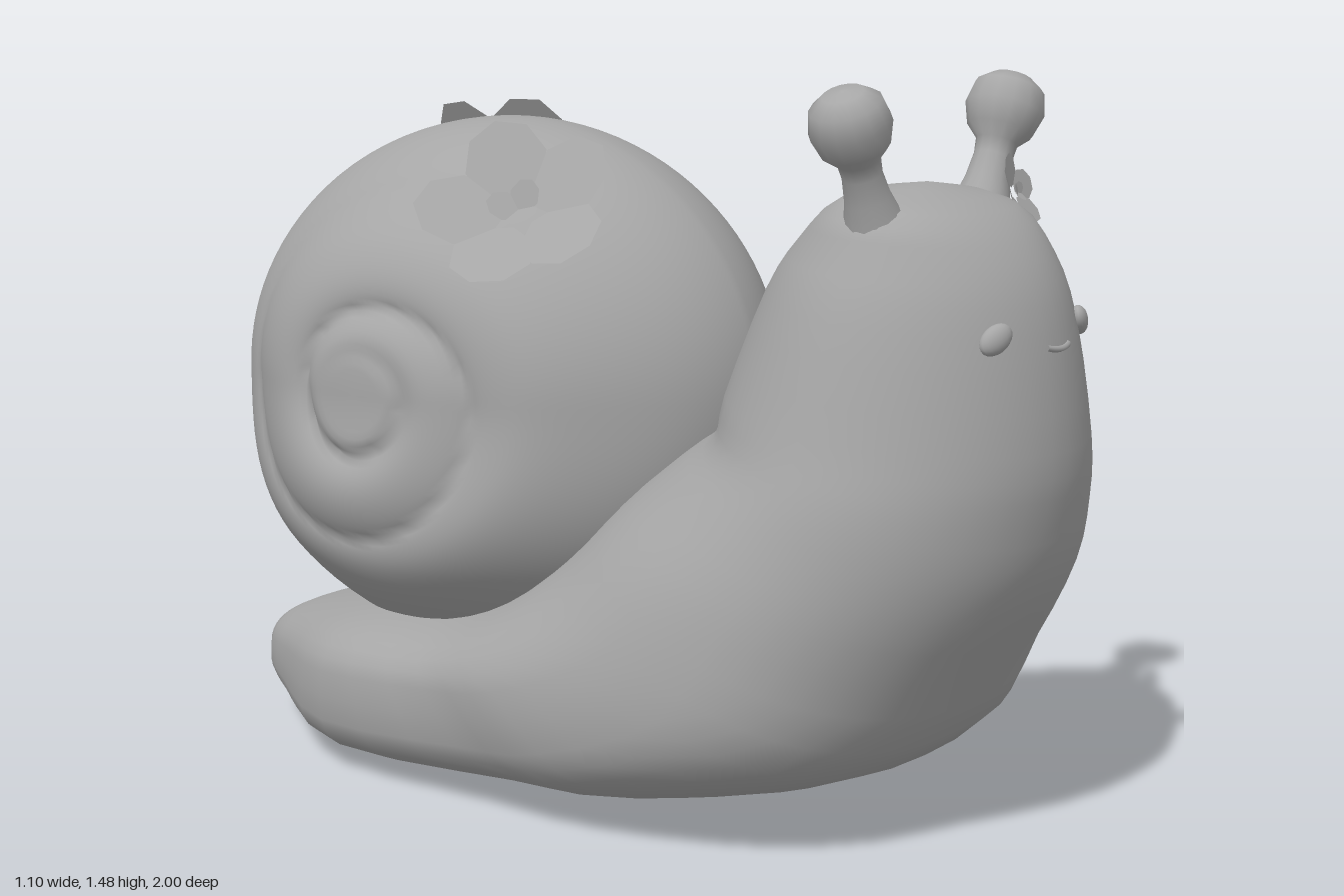
import * as THREE from 'three';
import { mergeVertices } from 'three/addons/utils/BufferGeometryUtils.js';

const skin = new THREE.MeshStandardMaterial({ name: 'warm grey', color: 0xa6a6a6, side: THREE.DoubleSide });

function part(name, geometry, parent) {
  const mesh = new THREE.Mesh(geometry, skin);
  mesh.name = name;
  parent.add(mesh);
  return mesh;
}

// weld seams so that the normals run smoothly across them
function smooth(geometry) {
  geometry.deleteAttribute('uv');
  geometry.deleteAttribute('normal');
  const welded = mergeVertices(geometry, 1e-4);
  welded.computeVertexNormals();
  return welded;
}

// Body: rings swinging from the crown of the head to the tail tip.
// Each row: front/sole z, y; back/top z, y; half width; roundness (1 = ellipse)
const RINGS = [
  [0.68, 1.29, 0.68, 1.29, 0, 1],
  [0.83, 1.24, 0.54, 1.265, 0.215, 0.98],
  [0.92, 1.15, 0.44, 1.18, 0.275, 1.03],
  [0.97, 1.02, 0.37, 1.08, 0.325, 1.06],
  [1.0, 0.8, 0.29, 0.88, 0.385, 1.06],
  [0.99, 0.67, 0.28, 0.8, 0.42, 1.04],
  [0.955, 0.53, 0.2, 0.74, 0.455, 1.0],
  [0.85, 0.35, 0.1, 0.65, 0.505, 0.92],
  [0.7, 0.15, 0.0, 0.53, 0.54, 0.8],
  [0.3, 0.05, -0.12, 0.42, 0.545, 0.68],
  [0.0, 0.03, -0.28, 0.36, 0.505, 0.62],
  [-0.5, 0.005, -0.5, 0.34, 0.47, 0.62],
  [-0.78, 0.04, -0.74, 0.29, 0.31, 0.68],
  [-0.94, 0.08, -0.93, 0.23, 0.17, 0.75],
  [-1.0, 0.15, -1.0, 0.15, 0, 1],
];

function bodyGeometry(steps = 42, sides = 40) {
  const outer = new THREE.CatmullRomCurve3(RINGS.map(r => new THREE.Vector3(r[0], r[1], r[4])), false, 'catmullrom', 0.5);
  const inner = new THREE.CatmullRomCurve3(RINGS.map(r => new THREE.Vector3(r[2], r[3], r[5])), false, 'catmullrom', 0.5);
  const positions = [], index = [];
  const soft = (v, p) => Math.sign(v) * Math.pow(Math.abs(v), p);
  for (let i = 0; i <= steps; i++) {
    const o = outer.getPoint(i / steps), n = inner.getPoint(i / steps);
    for (let j = 0; j <= sides; j++) {
      const a = (j % sides) / sides * Math.PI * 2;
      const s = soft(Math.sin(a), n.z), c = soft(Math.cos(a), n.z);
      positions.push(
        o.z * c,
        (o.y + n.y) / 2 + (n.y - o.y) / 2 * s,
        (o.x + n.x) / 2 + (n.x - o.x) / 2 * s);
      if (i < steps && j < sides) {
        const k = i * (sides + 1) + j, m = k + sides + 1;
        index.push(k, m, k + 1, k + 1, m, m + 1);
      }
    }
  }
  const g = new THREE.BufferGeometry();
  g.setAttribute('position', new THREE.Float32BufferAttribute(positions, 3));
  g.setIndex(index);
  return smooth(g);
}

// Shell: ellipsoid with poles at the sides, fuller and deeper below,
// swollen along a mirrored spiral that ends in a round knob
function shellGeometry() {
  const { smoothstep } = THREE.MathUtils;
  const g = new THREE.SphereGeometry(1, 96, 128);
  g.rotateZ(-Math.PI / 2);
  const pos = g.attributes.position;
  for (let i = 0; i < pos.count; i++) {
    const x = pos.getX(i), y = pos.getY(i), z = pos.getZ(i);
    const r = Math.hypot(y, z);
    const turn = Math.atan2(-y, z) / (Math.PI * 2);
    const whorl = Math.log(Math.max(r, 0.03) / 0.4) / Math.log(2.4) - turn;
    const u = whorl - Math.floor(whorl);
    const fade = 1 - smoothstep(r, 0.55, 0.92);
    const core = smoothstep(r, 0.12, 0.24);
    const bulge = 0.03 * Math.pow(Math.sin(Math.PI * u), 0.7) * fade * core + 0.03 * (1 - core);
    const fuller = 1 + 0.18 * smoothstep(-y, 0, 0.6);
    pos.setXYZ(i,
      x * 0.46 * fuller + Math.sign(x) * bulge,
      y * (y > 0 ? 0.54 : 0.61),
      z * 0.63 - 0.03 * Math.abs(x));
  }
  return smooth(g);
}

// Antenna: flared stalk with a round knob, standing along +y
function antennaGeometry() {
  const profile = [[0.065, -0.03], [0.058, 0], [0.045, 0.05], [0.039, 0.1], [0.042, 0.13],
    [0.066, 0.155], [0.08, 0.2], [0.07, 0.245], [0.04, 0.268], [0, 0.275]];
  return new THREE.LatheGeometry(profile.map(p => new THREE.Vector2(...p)), 14);
}

// Flower facing +z: a ring of cupped petals around smaller inner ones
function flower(name, size, position, normal, spin) {
  const group = new THREE.Group();
  group.name = name;
  const ring = (label, count, radius, offset, lift, tilt, turn) => {
    for (let i = 0; i < count; i++) {
      const petal = new THREE.CircleGeometry(radius, 8);
      petal.scale(1.08, 1, 1);
      petal.rotateY(-tilt);
      petal.translate(offset, 0, lift);
      petal.rotateZ(turn + i / count * Math.PI * 2);
      part(label, petal, group);
    }
  };
  ring('petal', 5, 0.44, 0.62, 0.1, 0.3, spin);
  ring('innerPetal', 3, 0.18, 0.13, 0.12, 0.5, spin + 0.4);
  group.scale.setScalar(size);
  group.position.set(...position);
  group.quaternion.setFromUnitVectors(new THREE.Vector3(0, 0, 1), new THREE.Vector3(...normal).normalize());
  return group;
}

export function createModel() {
  const model = new THREE.Group();
  model.name = 'snail';

  part('body', bodyGeometry(), model);
  part('shell', shellGeometry(), model).position.set(0, 0.83, -0.34);

  for (const side of [1, -1]) {
    const antenna = part(side > 0 ? 'leftAntenna' : 'rightAntenna', antennaGeometry(), model);
    antenna.position.set(side * 0.2, 1.23, 0.685);
    antenna.rotation.set(0, 0, -side * 0.43);

    const eye = part(side > 0 ? 'leftEye' : 'rightEye', new THREE.SphereGeometry(1, 16, 12), model);
    eye.scale.set(0.038, 0.026, 0.018);
    eye.position.set(side * 0.16, 1.025, 0.928);
    eye.rotation.set(-0.15, side * 0.5, -side * 0.5);
  }

  // small smile
  const smile = new THREE.QuadraticBezierCurve3(
    new THREE.Vector3(-0.04, 0.998, 0.97), new THREE.Vector3(0, 0.988, 0.983), new THREE.Vector3(0.04, 0.998, 0.97));
  part('mouth', new THREE.TubeGeometry(smile, 10, 0.006, 6), model);

  model.add(
    flower('headFlower', 0.072, [0.203, 1.256, 0.757], [0.2, 0.4, 0.9], 0.3),
    flower('leftShellFlower', 0.2, [0.285, 1.22, -0.575], [0.7, 0.68, -0.15], 0.5),
    flower('rightShellFlower', 0.195, [-0.295, 1.205, -0.09], [-0.7, 0.68, 0.27], 0.2));
  return model;
}
